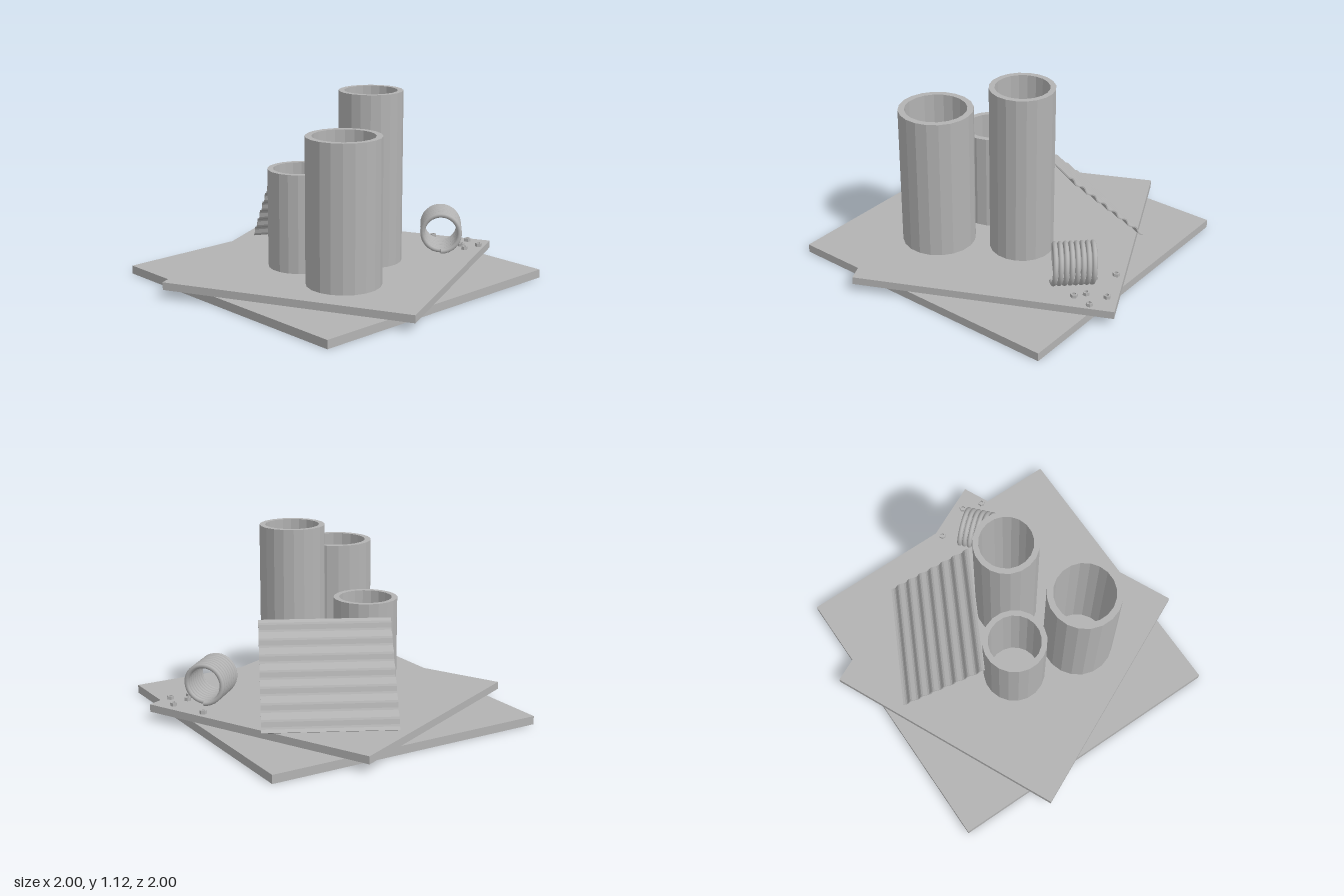
import * as THREE from 'three';

const V = (x, y, z) => new THREE.Vector3(x, y, z);

export function createModel() {
  const model = new THREE.Group();
  const grey = new THREE.MeshStandardMaterial({ color: 0xb3b3b3 });
  grey.name = 'plain grey';
  const flatGrey = grey.clone();
  flatGrey.name = 'plain grey faceted';
  flatGrey.flatShading = true;

  const add = (name, geometry, material, x = 0, y = 0, z = 0, turn = 0) => {
    const mesh = new THREE.Mesh(geometry, material);
    mesh.name = name;
    mesh.position.set(x, y, z);
    mesh.rotation.y = turn;
    model.add(mesh);
    return mesh;
  };

  // Hollow faceted ring standing on y = 0
  const ring = (outer, inner, height, sides) => new THREE.LatheGeometry([
    new THREE.Vector2(inner, 0), new THREE.Vector2(outer, 0),
    new THREE.Vector2(outer, height), new THREE.Vector2(inner, height),
    new THREE.Vector2(inner, 0),
  ], sides);

  // Two stacked slabs, the upper one turned
  const deck = 0.095;
  add('lowerSlab', new THREE.BoxGeometry(1.725, 0.05, 1.725), flatGrey, 0, 0.025, 0);
  add('upperSlab', new THREE.BoxGeometry(1.503, 0.045, 1.503), flatGrey, 0, 0.0725, 0, 0.44);

  // Upright open pipes: x, z, outer radius, inner radius, top
  [
    ['widePipe', -0.265, 0.355, 0.217, 0.18, 0.945],
    ['tallPipe', 0.175, 0.12, 0.189, 0.156, 1.12],
    ['shortPipe', -0.205, -0.08, 0.189, 0.156, 0.68],
  ].forEach(([name, x, z, outer, inner, top]) =>
    add(name, ring(outer, inner, top - deck, 20), flatGrey, x, deck, z, Math.PI / 20));

  // Corrugated sheet leaning at 45 degrees, ridges running across it
  const length = 0.714, width = 0.765, thickness = 0.008, waves = 7, steps = 56;
  const wave = (i) => 0.009 * Math.sin((i / steps) * waves * Math.PI * 2);
  const profile = [];
  for (let i = 0; i <= steps; i++) profile.push(new THREE.Vector2((i / steps) * length, wave(i) - thickness / 2));
  for (let i = steps; i >= 0; i--) profile.push(new THREE.Vector2((i / steps) * length, wave(i) + thickness / 2));
  const sheetGeometry = new THREE.ExtrudeGeometry(new THREE.Shape(profile), { depth: width, bevelEnabled: false });
  sheetGeometry.translate(0, 0, -width / 2);
  const down = V(0.23, -0.505, -0.45).normalize();
  const across = V(0.68, 0, 0.348).normalize();
  const up = across.clone().cross(down).normalize();
  const sheet = add('corrugatedSheet', sheetGeometry, flatGrey, 0.11, 0.6, -0.135);
  sheet.quaternion.setFromRotationMatrix(new THREE.Matrix4().makeBasis(down, up, across));

  // Coil spring lying on its side
  const turns = 8, coilLength = 0.25, coilRadius = 0.112, wire = 0.0145;
  class Helix extends THREE.Curve {
    getPoint(t, target = V(0, 0, 0)) {
      const a = t * turns * Math.PI * 2 - Math.PI / 2;
      return target.set((t - 0.5) * coilLength, coilRadius * Math.sin(a), coilRadius * Math.cos(a));
    }
  }
  const helix = new Helix();
  const spring = add('spring', new THREE.TubeGeometry(helix, turns * 32, wire, 10), grey, 0.652, 0.222, 0.257, 0.75);
  [0, 1].forEach((t) => {
    const cap = new THREE.Mesh(new THREE.CircleGeometry(wire, 10), grey);
    cap.name = 'springEnd';
    const direction = helix.getTangent(t).multiplyScalar(t ? 1 : -1);
    cap.position.copy(helix.getPoint(t));
    cap.quaternion.setFromUnitVectors(V(0, 0, 1), direction);
    spring.add(cap);
  });

  // Scattered hexagonal nuts
  [[0.805, 0.055], [0.89, 0.27], [0.855, 0.39], [0.74, 0.375], [0.78, 0.315]].forEach(([x, z], i) =>
    add('nut' + (i + 1), ring(0.021, 0.012, 0.02, 6), flatGrey, x, deck, z, i * 0.4));

  return model;
}
